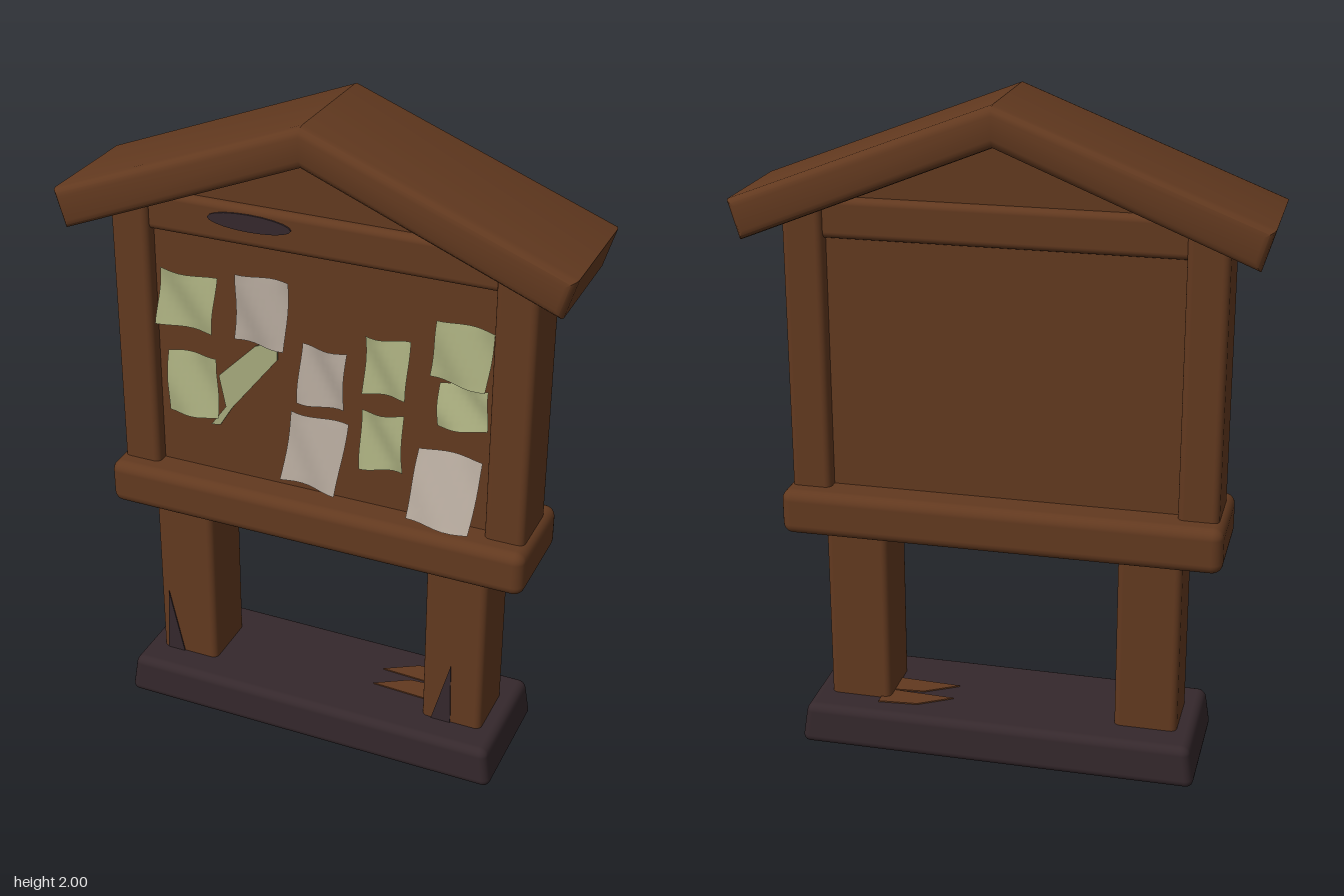
import * as THREE from 'three';
import { toCreasedNormals } from 'three/addons/utils/BufferGeometryUtils.js';
import { RoundedBoxGeometry } from 'three/addons/geometries/RoundedBoxGeometry.js';

const material = (name, color, side = THREE.FrontSide) => {
  const m = new THREE.MeshStandardMaterial({ color, side });
  m.name = name;
  return m;
};

export function createModel() {
  const wood = material('brown wood', 0x62391f);
  const dark = material('dark stone', 0x35282c);
  const green = material('green paper', 0xa6aa7c, THREE.DoubleSide);
  const white = material('pale paper', 0xb0a498, THREE.DoubleSide);
  const model = new THREE.Group();
  model.name = 'noticeBoard';

  const add = (name, geometry, mat, x = 0, y = 0, z = 0) => {
    const mesh = new THREE.Mesh(geometry, mat);
    mesh.name = name;
    mesh.position.set(x, y, z);
    model.add(mesh);
    return mesh;
  };
  // Rounded beam given by its limits
  const beam = (name, mat, x0, x1, y0, y1, z0, z1, r = 0.02) =>
    add(name, new RoundedBoxGeometry(x1 - x0, y1 - y0, z1 - z0, 3, r), mat,
      (x0 + x1) / 2, (y0 + y1) / 2, (z0 + z1) / 2);
  const outline = (points) => new THREE.Shape(points.map(([x, y]) => new THREE.Vector2(x, y)));
  // Thin plate cut from an outline, lying in xy
  const plate = (name, points, mat, z) =>
    add(name, new THREE.ExtrudeGeometry(outline(points), { depth: 0.006, bevelEnabled: false }), mat, 0, 0, z);

  // Base, narrowing towards the top
  const base = beam('base', dark, -0.61, 0.61, 0, 0.13, -0.205, 0.205, 0.025);
  const bp = base.geometry.attributes.position;
  for (let i = 0; i < bp.count; i++) {
    const t = (bp.getY(i) + 0.065) / 0.13;
    bp.setX(i, bp.getX(i) * (1 - 0.03 * t));
    bp.setZ(i, bp.getZ(i) * (1 - 0.04 * t));
  }

  // Legs and side posts
  for (const s of [-1, 1]) {
    const side = s < 0 ? 'right' : 'left';
    beam(side + 'Leg', wood, s * 0.445 - 0.095, s * 0.445 + 0.095, 0.08, 0.75, -0.1, 0.1);
    beam(side + 'Post', wood, s * 0.58 - 0.06, s * 0.58 + 0.06, 0.75, 1.68, -0.1, 0.1);
  }

  // Sill, panel, top beam and gable
  beam('sill', wood, -0.66, 0.66, 0.68, 0.82, -0.16, 0.16, 0.032);
  beam('panel', wood, -0.56, 0.56, 0.76, 1.64, -0.06, 0.06, 0.01);
  beam('topBeam', wood, -0.55, 0.55, 1.58, 1.70, -0.085, 0.085);
  const gable = new THREE.ExtrudeGeometry(
    outline([[-0.62, 1.6], [0.62, 1.6], [0.62, 1.65], [0, 1.92], [-0.62, 1.65]]),
    { depth: 0.12, bevelEnabled: false });
  add('gable', gable, wood, 0, 0, -0.06);

  // Pitched roof with rounded edges
  const roof = new THREE.ExtrudeGeometry(
    outline([[0, 2.002], [-0.765, 1.705], [-0.73, 1.59], [0, 1.885], [0.73, 1.59], [0.765, 1.705]]),
    { depth: 0.35, bevelThickness: 0.03, bevelSize: 0.025, bevelOffset: -0.025, bevelSegments: 3 });
  add('roof', toCreasedNormals(roof, 0.7), wood, 0, 0, -0.175);

  // Dark worn patch on the top beam
  const patch = add('beamPatch', new THREE.CylinderGeometry(0.128, 0.128, 0.006, 20), dark, -0.205, 1.655, 0.087);
  patch.rotation.x = Math.PI / 2;
  patch.scale.z = 0.2;

  // Dark notches at the foot of the legs
  plate('rightLegNotch', [[-0.52, 0.12], [-0.46, 0.12], [-0.51, 0.35]], dark, 0.098);
  plate('leftLegNotch', [[0.38, 0.12], [0.445, 0.12], [0.44, 0.34]], dark, 0.098);

  // Wood splinters lying on the base
  for (const s of [-1, 1]) {
    const splinter = plate('splinter', [[0.38, 0.02], [0.38, 0.1], [0.26, 0.09], [0.16, 0.03]], wood, 0);
    splinter.scale.y = s;
    splinter.rotation.x = -Math.PI / 2;
    splinter.position.set(0, 0.128, s * 0.05);
    if (s < 0) splinter.scale.y = 1, splinter.position.z = -0.03;
  }

  // Creased paper notes: x, y, width, height, lift at the bottom, tilt, colour
  const notes = [
    [-0.405, 1.385, 0.18, 0.165, 0.02, -0.03, green],
    [-0.17, 1.395, 0.16, 0.205, 0.015, -0.03, white],
    [-0.39, 1.12, 0.16, 0.19, 0.03, 0.03, green],
    [0.02, 1.225, 0.14, 0.175, 0.02, -0.02, white],
    [0.215, 1.3, 0.13, 0.165, 0.025, 0.02, green],
    [0.435, 1.385, 0.165, 0.17, 0.025, -0.08, green],
    [0.445, 1.225, 0.145, 0.12, 0.03, 0.05, green],
    [0.205, 1.06, 0.13, 0.17, 0.025, 0.06, green],
    [0, 0.985, 0.175, 0.21, 0.05, -0.08, white],
    [0.41, 0.97, 0.19, 0.19, 0.1, -0.03, white],
  ];
  notes.forEach(([x, y, w, h, lift, tilt, mat], n) => {
    const g = new THREE.PlaneGeometry(w, h, 8, 8);
    const p = g.attributes.position;
    for (let i = 0; i < p.count; i++) {
      const u = p.getX(i) / w, v = p.getY(i) / h;
      p.setZ(i, lift * (0.5 - v) + 0.012 * Math.sin(5 * u + 4 * v + n * 1.7));
    }
    g.computeVertexNormals();
    add('note' + (n + 1), g, mat, x, y, 0.09).rotation.z = tilt;
  });

  // Torn strip hanging behind one note
  plate('tornStrip', [[-0.35, 0.98], [-0.32, 0.985], [-0.28, 1.05], [-0.13, 1.24], [-0.13, 1.3],
    [-0.2, 1.27], [-0.32, 1.15], [-0.3, 1.05]], green, 0.07);

  return model;
}
